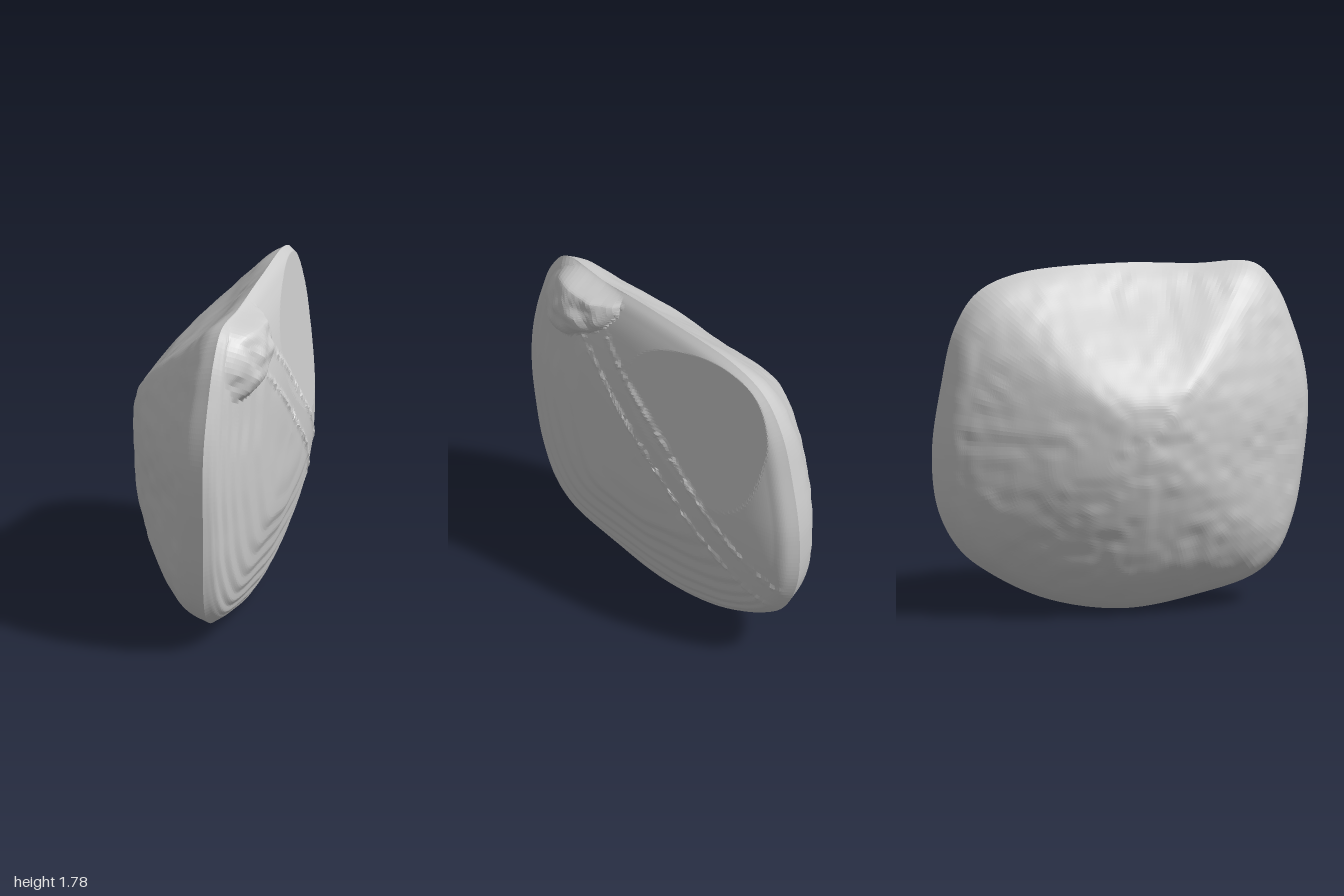
import * as THREE from 'three';

const { lerp, smoothstep } = THREE.MathUtils;
const CY = 0.95; // height of the middle of the valve

// Smooth lookup of x through a few [t, x] pairs; t runs from the middle (0) to the rim (1)
function profile(pairs) {
  const f = new THREE.CubicInterpolant(pairs.map(p => p[0]), pairs.map(p => p[1]), 1);
  return t => f.evaluate(t)[0];
}

// Profiles towards the top, bottom, front and back
const dome = {
  up: profile([[0, -0.425], [0.15, -0.42], [0.3, -0.375], [0.55, -0.19], [0.78, 0.03], [0.92, 0.145], [1, 0.215]]),
  down: profile([[0, -0.425], [0.16, -0.415], [0.37, -0.37], [0.58, -0.3], [0.79, -0.195], [0.9, -0.09], [0.97, 0.01], [1, 0.095]]),
  front: profile([[0, -0.425], [0.2, -0.4], [0.45, -0.31], [0.6, -0.22], [0.75, -0.115], [0.87, -0.02], [0.96, 0.07], [1, 0.175]]),
  back: profile([[0, -0.425], [0.2, -0.4], [0.45, -0.32], [0.6, -0.235], [0.75, -0.14], [0.87, -0.045], [0.96, 0.055], [1, 0.16]]),
};
const face = {
  up: profile([[0, 0.38], [0.4, 0.375], [0.6, 0.355], [0.8, 0.315], [0.9, 0.28], [0.96, 0.25], [1, 0.215]]),
  down: profile([[0, 0.38], [0.37, 0.36], [0.58, 0.305], [0.79, 0.245], [0.9, 0.2], [0.96, 0.155], [1, 0.095]]),
  front: profile([[0, 0.38], [0.4, 0.362], [0.6, 0.333], [0.8, 0.285], [0.9, 0.25], [0.96, 0.222], [1, 0.175]]),
  back: profile([[0, 0.38], [0.4, 0.368], [0.6, 0.345], [0.8, 0.298], [0.9, 0.258], [0.96, 0.222], [1, 0.16]]),
};

// Outline in z and y
const outline = new THREE.CatmullRomCurve3([
  [0.72, 1.75], [0.4, 1.76], [0, 1.78], [-0.55, 1.75], [-0.76, 1.66], [-0.88, 1.48], [-0.95, 1.2],
  [-1, 0.85], [-0.97, 0.55], [-0.86, 0.34], [-0.7, 0.21], [-0.4, 0.065], [0, 0], [0.4, 0.055],
  [0.7, 0.14], [0.83, 0.25], [0.92, 0.45], [0.97, 0.7], [1, 1], [0.98, 1.22], [0.92, 1.43], [0.84, 1.62],
].map(([z, y]) => new THREE.Vector3(0, y, z)), true);

// Small uneven lumps, from a fixed hash smoothed between grid points
const hash = (i, j) => {
  const v = Math.sin(i * 127.1 + j * 311.7) * 43758.5453;
  return (v - Math.floor(v)) * 2 - 1;
};
function rough(y, z) {
  const u = y * 14, v = z * 14, i = Math.floor(u), j = Math.floor(v);
  const a = smoothstep(u - i, 0, 1), b = smoothstep(v - j, 0, 1);
  return lerp(lerp(hash(i, j), hash(i + 1, j), a), lerp(hash(i, j + 1), hash(i + 1, j + 1), a), b);
}

// Mix the profiles by direction
function mix(set, t, ez, ey) {
  const s = (ey * ey) / (ez * ez + ey * ey);
  return s * (ey > 0 ? set.up : set.down)(t) + (1 - s) * (ez > 0 ? set.front : set.back)(t);
}

// Domed side, with a weathered surface
function domeX(t, ez, ey) {
  return mix(dome, t, ez, ey) + 0.005 * rough(CY + ey * t, ez * t) * smoothstep(1 - t, 0, 0.1);
}

// Flatter side: growth steps below, slanted facet above, hinge between, beak at the end
function faceX(t, ez, ey) {
  const y = CY + ey * t, z = ez * t;
  const fade = smoothstep(1 - t, 0, 0.1);
  let x = mix(face, t, ez, ey);
  // d is measured across the hinge line, a along it
  const a = -0.75 * (z - 0.45) - 0.665 * (y - 1.55);
  const d = -0.665 * (z - 0.45) + 0.75 * (y - 1.55);
  x = Math.min(x, 0.385 - 0.19 * Math.max(d, 0));
  if (d < -0.06) {
    const w = 0.03, s = (x + 0.004 * rough(y * 0.4, z * 0.4)) / w, n = Math.floor(s);
    x = lerp(x, (n + smoothstep(s - n, 0.2, 0.8)) * w, 0.5 * fade);
  }
  // Hinge: two ragged lines
  const ragged = 0.5 + 0.5 * hash(Math.floor(a * 45), 3);
  for (const line of [-0.058, 0.105]) {
    x += 0.012 * ragged * Math.exp(-(((d - line) / 0.018) ** 2)) * fade;
  }
  // Beak: a slanting lump, undercut below and easing off up to the rim
  const bz = z - 0.5, by = y - 1.54;
  const along = (0.85 * bz - 0.53 * by) / 0.26, across = 0.53 * bz + 0.85 * by;
  const q = Math.hypot(along, across / (across > 0 ? 0.21 : 0.1));
  const beak = 0.405 - 0.09 * q ** 2.5 + 0.014 * rough(y * 1.3, z * 1.3);
  return Math.max(x, lerp(mix(face, 1, ez, ey), beak, smoothstep(1 - t, -0.01, 0.07)));
}

// Closed skin: rings run from the middle of the dome, over the rim, to the middle of the face
function shellGeometry(rings = 160, sides = 220) {
  const edge = outline.getSpacedPoints(sides);
  const pos = [], index = [];
  for (let i = 0; i <= rings; i++) {
    const t = Math.sin((i / rings) * Math.PI);
    const surface = i <= rings / 2 ? domeX : faceX;
    for (let j = 0; j < sides; j++) {
      const ez = edge[j].z, ey = edge[j].y - CY;
      pos.push(surface(t, ez, ey), CY + ey * t, ez * t);
    }
  }
  for (let i = 0; i < rings; i++) {
    for (let j = 0; j < sides; j++) {
      const k = (j + 1) % sides;
      const a = i * sides + j, b = i * sides + k, c = a + sides, d = b + sides;
      if (i > 0) index.push(a, c, b);
      if (i < rings - 1) index.push(b, c, d);
    }
  }
  const geo = new THREE.BufferGeometry();
  geo.setAttribute('position', new THREE.Float32BufferAttribute(pos, 3));
  geo.setIndex(index);
  geo.computeVertexNormals();
  return geo;
}

export function createModel() {
  const group = new THREE.Group();
  group.name = 'fossilShell';
  const material = new THREE.MeshStandardMaterial({ color: 0xcccccc, flatShading: true });
  const shell = new THREE.Mesh(shellGeometry(), material);
  shell.name = 'shellBody';
  group.add(shell);
  return group;
}
